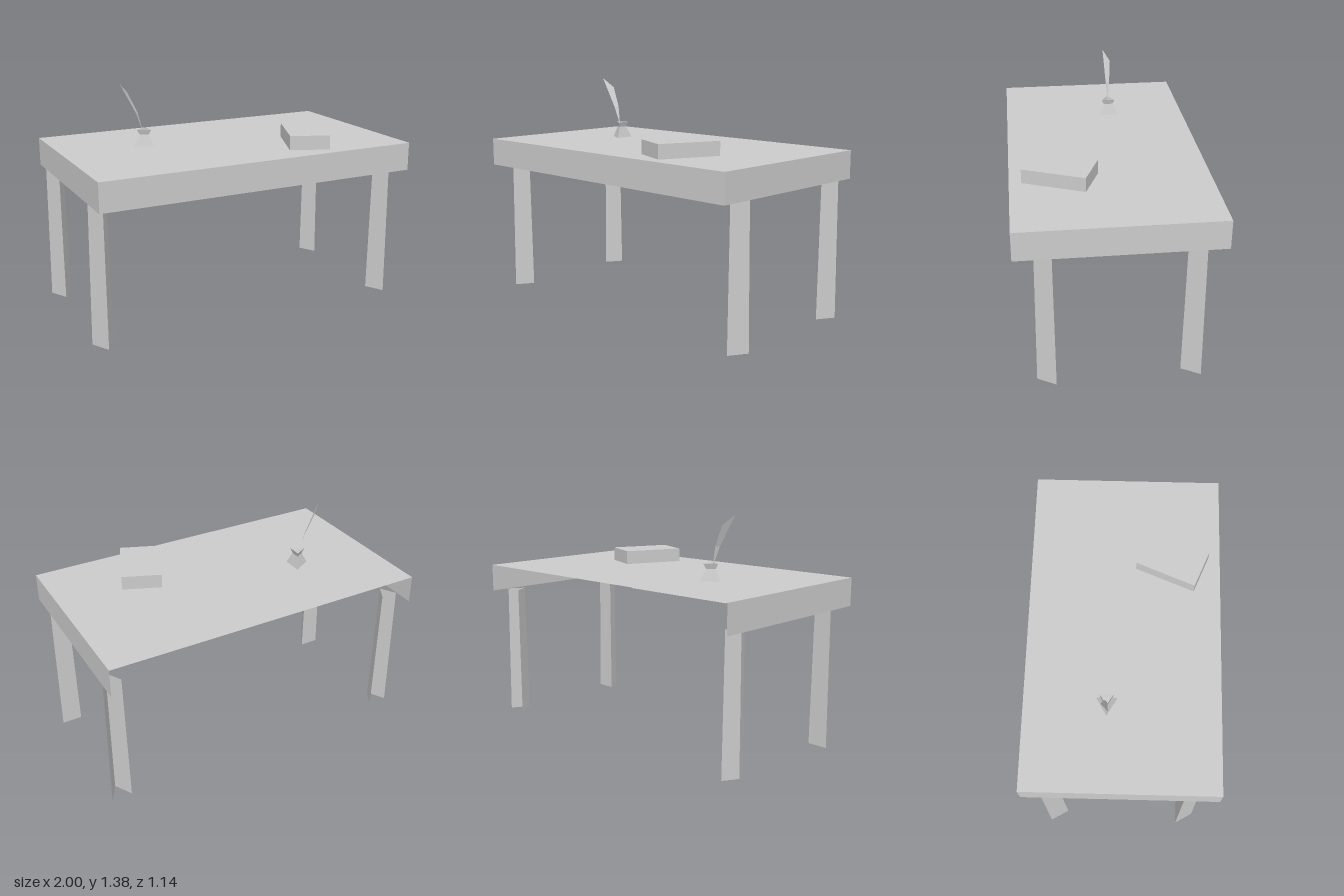
import * as THREE from 'three';

const material = new THREE.MeshStandardMaterial({
  color: 0xcccccc, flatShading: true, side: THREE.DoubleSide,
});

function add(parent, name, geometry, x = 0, y = 0, z = 0) {
  const mesh = new THREE.Mesh(geometry, material);
  mesh.name = name;
  mesh.position.set(x, y, z);
  parent.add(mesh);
  return mesh;
}

export function createModel() {
  const model = new THREE.Group();
  model.name = 'writingDesk';

  const left = 0.99, right = -0.995, front = 0.57, back = -0.575;
  const topY = 1, legH = 0.83, apronH = topY - legH;
  const width = left - right, depth = front - back;
  const midX = (left + right) / 2, midZ = (front + back) / 2;

  // Thin table top with aprons on the front and both sides; the back is open
  add(model, 'tableTop', new THREE.PlaneGeometry(width, depth).rotateX(-Math.PI / 2), midX, topY, midZ);
  add(model, 'frontApron', new THREE.PlaneGeometry(width, apronH), midX, topY - apronH / 2, front);
  for (const [name, x, turn] of [['leftApron', left, 1], ['rightApron', right, -1]]) {
    add(model, name, new THREE.PlaneGeometry(depth, apronH).rotateY(turn * Math.PI / 2), x, topY - apronH / 2, midZ);
  }

  // Flat rim under the top, behind the front apron
  const rect = (path, x, z0, z1) => path.moveTo(-x, -z0).lineTo(x, -z0).lineTo(x, -z1).lineTo(-x, -z1).closePath();
  const rim = new THREE.Shape();
  rect(rim, 0.41, 0.12, front);
  const hole = new THREE.Path();
  rect(hole, 0.375, 0.155, front - 0.02);
  rim.holes.push(hole);
  add(model, 'drawerRim', new THREE.ShapeGeometry(rim).rotateX(-Math.PI / 2), 0, legH + 0.001, 0);

  // Tapered three-sided legs with the ridge to the front; the rear pair is open at the back
  const third = Math.PI * 2 / 3;
  for (const [side, x] of [['Left', 0.935], ['Right', -0.938]]) {
    add(model, 'front' + side + 'Leg',
      new THREE.CylinderGeometry(0.062, 0.071, legH, 3, 1, true), x, legH / 2, 0.395);
    add(model, 'back' + side + 'Leg',
      new THREE.CylinderGeometry(0.062, 0.071, legH, 2, 1, true, -third, 2 * third), x, legH / 2, -0.424);
  }

  // Closed book lying at an angle
  add(model, 'book', new THREE.BoxGeometry(0.238, 0.085, 0.377), 0.42, topY + 0.0425, 0.28).rotation.y = -0.388;

  // Three-sided inkwell with a flared, open mouth
  const profile = [[0.072, 0], [0.032, 0.07], [0.05, 0.1]].map(([r, y]) => new THREE.Vector2(r, y));
  add(model, 'inkwell', new THREE.LatheGeometry(profile, 3, -Math.PI / 2), -0.476, topY, -0.092);

  // Bent quill feather: tip, shoulder, two middle points, nib
  const quill = new THREE.BufferGeometry();
  quill.setAttribute('position', new THREE.Float32BufferAttribute([
    -0.63, 1.385, -0.073,
    -0.57, 1.325, -0.115,
    -0.53, 1.2, -0.083,
    -0.512, 1.2, -0.104,
    -0.485, 1.08, -0.092,
  ], 3));
  quill.setIndex([0, 2, 1, 1, 2, 3, 2, 4, 3]);
  quill.computeVertexNormals();
  add(model, 'quill', quill);

  return model;
}
